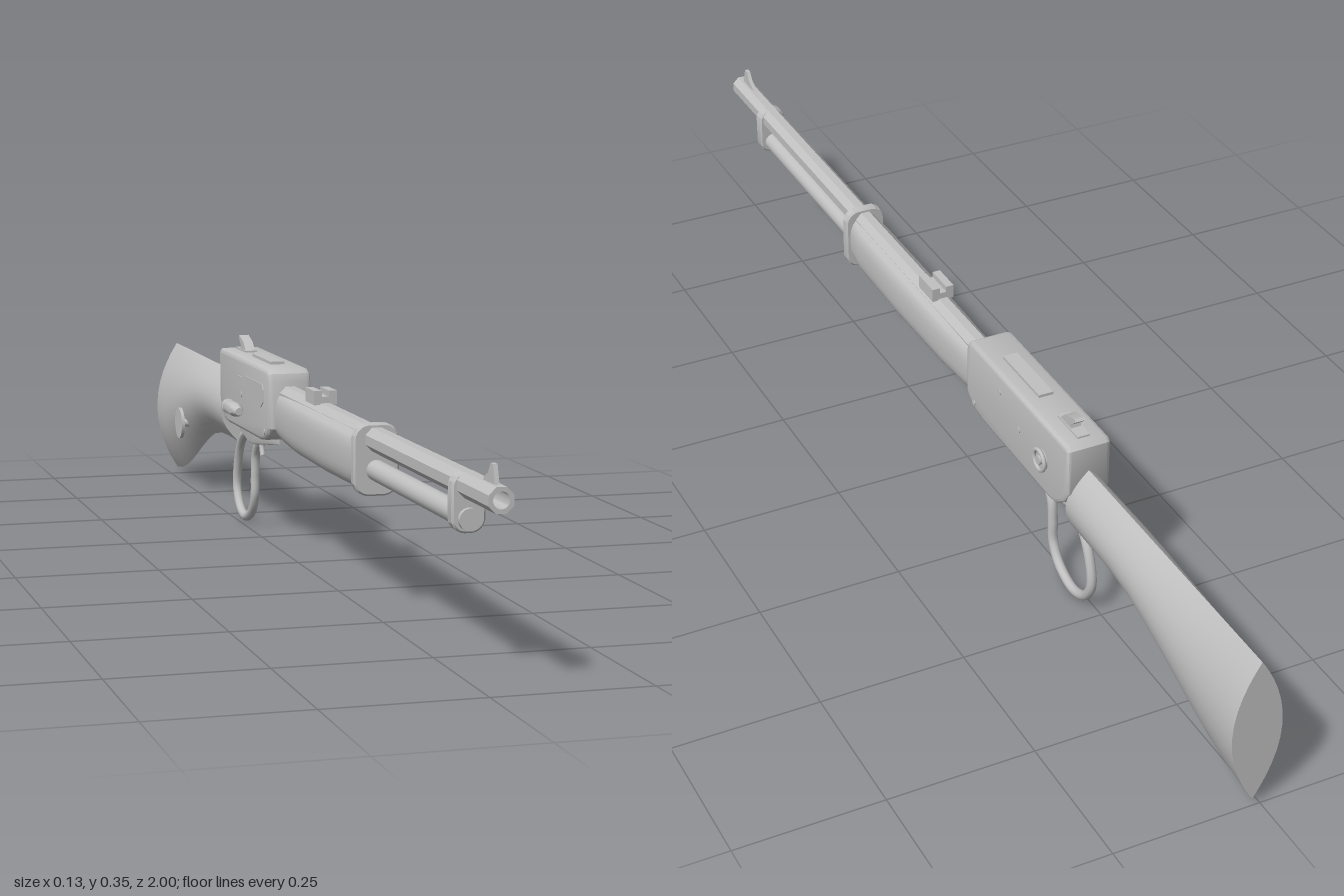
import * as THREE from 'three';
import { toCreasedNormals } from 'three/addons/utils/BufferGeometryUtils.js';

const CX = 0.014; // centre plane of the body
const grey = new THREE.MeshStandardMaterial({ color: 0xc0c0c0 });
grey.name = 'plain light grey';

export function createModel() {
  const model = new THREE.Group();

  const add = (name, geometry, x = 0, y = 0, z = 0) => {
    const mesh = new THREE.Mesh(geometry, grey);
    mesh.name = name;
    mesh.position.set(x, y, z);
    model.add(mesh);
  };
  const box = (name, w, h, d, x, y, z) => add(name, new THREE.BoxGeometry(w, h, d), x, y, z);
  const shapeOf = (pts) => new THREE.Shape(pts.map(([a, b]) => new THREE.Vector2(a, b)));

  // side profile in (-z, y), given thickness along x
  const sideProfile = (name, pts, width, bevel = 0, x = CX) => {
    const g = new THREE.ExtrudeGeometry(shapeOf(pts), {
      depth: width - 2 * bevel, bevelEnabled: bevel > 0, bevelSize: bevel,
      bevelThickness: bevel, bevelOffset: -bevel, bevelSegments: 3,
    });
    g.translate(0, 0, -(width - 2 * bevel) / 2);
    g.rotateY(Math.PI / 2);
    add(name, toCreasedNormals(g, 0.6), x);
  };

  // rods along z and discs along x
  const rod = (name, r, z0, z1, x, y) =>
    add(name, new THREE.CylinderGeometry(r, r, z1 - z0, 24).rotateX(Math.PI / 2), x, y, (z0 + z1) / 2);
  const disc = (name, r, w, x, y, z) =>
    add(name, new THREE.CylinderGeometry(r, r, w, 20).rotateZ(Math.PI / 2), x, y, z);

  // bands: rounded rectangles extruded along z
  const band = (name, w, h, r, y, z0, z1) => {
    const s = new THREE.Shape();
    s.absarc(w / 2 - r, h / 2 - r, r, 0, Math.PI / 2);
    s.absarc(-w / 2 + r, h / 2 - r, r, Math.PI / 2, Math.PI);
    s.absarc(-w / 2 + r, -h / 2 + r, r, Math.PI, Math.PI * 1.5);
    s.absarc(w / 2 - r, -h / 2 + r, r, Math.PI * 1.5, Math.PI * 2);
    s.closePath();
    const g = new THREE.ExtrudeGeometry(s, {
      depth: z1 - z0 - 0.006, bevelSize: 0.003, bevelThickness: 0.003,
      bevelOffset: -0.003, bevelSegments: 1, curveSegments: 8,
    });
    add(name, toCreasedNormals(g, 0.5), CX, y, z0 + 0.003);
  };

  // capped skin over rings ordered from front to back
  const loft = (name, rings) => {
    const pos = [];
    const tri = (...p) => p.forEach((v) => pos.push(...v));
    const n = rings[0].length;
    const mid = (r) => [0, 1, 2].map((k) => r.reduce((s, p) => s + p[k], 0) / n);
    const first = rings[0], last = rings[rings.length - 1];
    for (let j = 0; j < n; j++) {
      const k = (j + 1) % n;
      for (let i = 0; i + 1 < rings.length; i++) {
        const [a, b, c, d] = [rings[i][j], rings[i][k], rings[i + 1][k], rings[i + 1][j]];
        tri(a, d, b);
        tri(b, d, c);
      }
      tri(mid(first), first[j], first[k]);
      tri(mid(last), last[k], last[j]);
    }
    const g = new THREE.BufferGeometry();
    g.setAttribute('position', new THREE.Float32BufferAttribute(pos, 3));
    add(name, toCreasedNormals(g, 0.7), CX);
  };

  // octagonal barrel with an open bore
  const oct = new THREE.Shape();
  for (let i = 0; i < 8; i++) {
    const a = Math.PI / 8 + i * Math.PI / 4, r = 0.0205;
    oct[i ? 'lineTo' : 'moveTo'](r * Math.cos(a), r * Math.sin(a));
  }
  oct.closePath();
  oct.holes.push(new THREE.Path().absarc(0, 0, 0.0125, 0, Math.PI * 2, true));
  const barrel = new THREE.ExtrudeGeometry(oct, { depth: 1.12, bevelEnabled: false, curveSegments: 12 });
  add('barrel', toCreasedNormals(barrel, 0.6), CX, 0.281, -0.12);
  rod('boreFloor', 0.013, 0.8, 0.93, CX, 0.281);

  // tube below the barrel and its bands
  rod('lowerTube', 0.017, 0.38, 0.872, CX, 0.231);
  band('frontBand', 0.052, 0.09, 0.022, 0.255, 0.842, 0.864);
  band('rearBand', 0.076, 0.117, 0.026, 0.248, 0.398, 0.416);

  // fore-end: swelling rounded section
  loft('foreEnd', [
    [0.405, 0.03, 0.291, 0.2], [0.36, 0.034, 0.292, 0.194], [0.2, 0.035, 0.292, 0.192],
    [0.02, 0.033, 0.292, 0.194], [-0.07, 0.029, 0.291, 0.199], [-0.12, 0.027, 0.29, 0.204],
  ].map(([z, hw, top, bottom]) => Array.from({ length: 32 }, (_, j) => {
    const a = j / 32 * Math.PI * 2, f = (v) => Math.sign(v) * Math.abs(v) ** 0.72;
    return [hw * f(Math.cos(a)), (top + bottom) / 2 + (top - bottom) / 2 * f(Math.sin(a)), z];
  })));

  // receiver with cut lower corners
  sideProfile('receiver', [
    [0.104, 0.224], [0.114, 0.212], [0.14, 0.2], [0.17, 0.196], [0.41, 0.195], [0.43, 0.198],
    [0.458, 0.218], [0.47, 0.24], [0.47, 0.322], [0.463, 0.329], [0.122, 0.329], [0.109, 0.322], [0.104, 0.308],
  ], 0.078, 0.007);
  box('topPlate', 0.026, 0.01, 0.13, CX, 0.329, -0.255);

  // hammer
  box('hammerBase', 0.022, 0.008, 0.07, CX, 0.328, -0.415);
  sideProfile('hammer', [[0.38, 0.325], [0.425, 0.325], [0.422, 0.338], [0.438, 0.352], [0.434, 0.356], [0.402, 0.346]], 0.018);

  // saddle ring and screws on the left side
  disc('ringStem', 0.008, 0.012, 0.056, 0.258, -0.385);
  disc('ringPlate', 0.018, 0.004, 0.054, 0.258, -0.385);
  add('saddleRing', new THREE.TorusGeometry(0.018, 0.0036, 10, 28).rotateY(Math.PI / 2), 0.059, 0.258, -0.385);
  for (const [y, z] of [[0.262, -0.3], [0.294, -0.23], [0.216, -0.135]]) {
    disc('screw', 0.005, 0.081, CX, y, z);
  }

  // ejection port on the right side
  sideProfile('ejectionPort', [[0.14, 0.268], [0.16, 0.256], [0.26, 0.256], [0.27, 0.266], [0.27, 0.3], [0.15, 0.3], [0.14, 0.29]],
    0.004, 0, -0.0245);
  for (let i = 0; i < 3; i++) box('sideMark', 0.003, 0.005, 0.012, -0.0245, 0.292, -0.3 - i * 0.018);

  // loose cartridge beside the port
  const cartridge = [[0, 0], [0.013, 0], [0.013, 0.006], [0.011, 0.008], [0.0125, 0.011], [0.0125, 0.058],
    [0.011, 0.064], [0.0095, 0.077], [0.007, 0.085], [0, 0.086]].map(([r, y]) => new THREE.Vector2(r, y));
  add('cartridge', toCreasedNormals(new THREE.LatheGeometry(cartridge, 24).rotateX(Math.PI / 2), 0.6), -0.05, 0.241, -0.304);

  // lever plate, loop and trigger
  sideProfile('leverPlate', [[0.14, 0.2], [0.142, 0.189], [0.2, 0.181], [0.33, 0.163], [0.365, 0.163], [0.43, 0.178], [0.43, 0.2]], 0.022, 0.003);
  const loopPoints = [[0.325, 0.174], [0.347, 0.14], [0.352, 0.1], [0.355, 0.06], [0.378, 0.028], [0.425, 0.0105],
    [0.465, 0.023], [0.489, 0.058], [0.482, 0.105], [0.455, 0.15], [0.415, 0.172], [0.37, 0.176]]
    .map(([s, y]) => new THREE.Vector3(CX, y, -s));
  add('leverLoop', new THREE.TubeGeometry(new THREE.CatmullRomCurve3(loopPoints, true), 80, 0.0085, 10, true));
  const triggerCurve = new THREE.CatmullRomCurve3(
    [[0.298, 0.19], [0.303, 0.165], [0.295, 0.147]].map(([s, y]) => new THREE.Vector3(CX, y, -s)));
  add('trigger', new THREE.TubeGeometry(triggerCurve, 12, 0.005, 8));

  // stock: lens-shaped section that deepens to the butt
  loft('stock', [
    [-0.465, 0.038, 0.146], [-0.55, 0.039, 0.147], [-0.61, 0.04, 0.145], [-0.67, 0.041, 0.134], [-0.73, 0.042, 0.112],
    [-0.79, 0.043, 0.086], [-0.85, 0.043, 0.057], [-0.9, 0.043, 0.037], [-0.95, 0.043, 0.023], [-1, 0.043, 0.016],
  ].map(([z, hw, bottom]) => Array.from({ length: 32 }, (_, j) => {
    const u = Math.cos(j / 16 * Math.PI), side = j < 16 ? -1 : 1;
    return [side * hw * (1 - u * u), (0.278 + bottom) / 2 + u * (0.278 - bottom) / 2, z];
  })));

  // round stud on the right side of the stock
  disc('studStem', 0.008, 0.02, -0.023, 0.143, -0.77);
  disc('stud', 0.031, 0.006, -0.0335, 0.143, -0.77);

  // rear sight: base with two leaves
  box('rearSightBase', 0.04, 0.014, 0.055, CX, 0.304, 0.095);
  for (const s of [-1, 1]) box('rearSightLeaf', 0.014, 0.011, 0.055, CX + s * 0.013, 0.3155, 0.095);

  // front sight blade with a ramp behind the peak
  sideProfile('frontSight', [[-0.982, 0.296], [-0.93, 0.296], [-0.936, 0.305], [-0.952, 0.313], [-0.962, 0.328], [-0.972, 0.328]], 0.007);

  return model;
}
